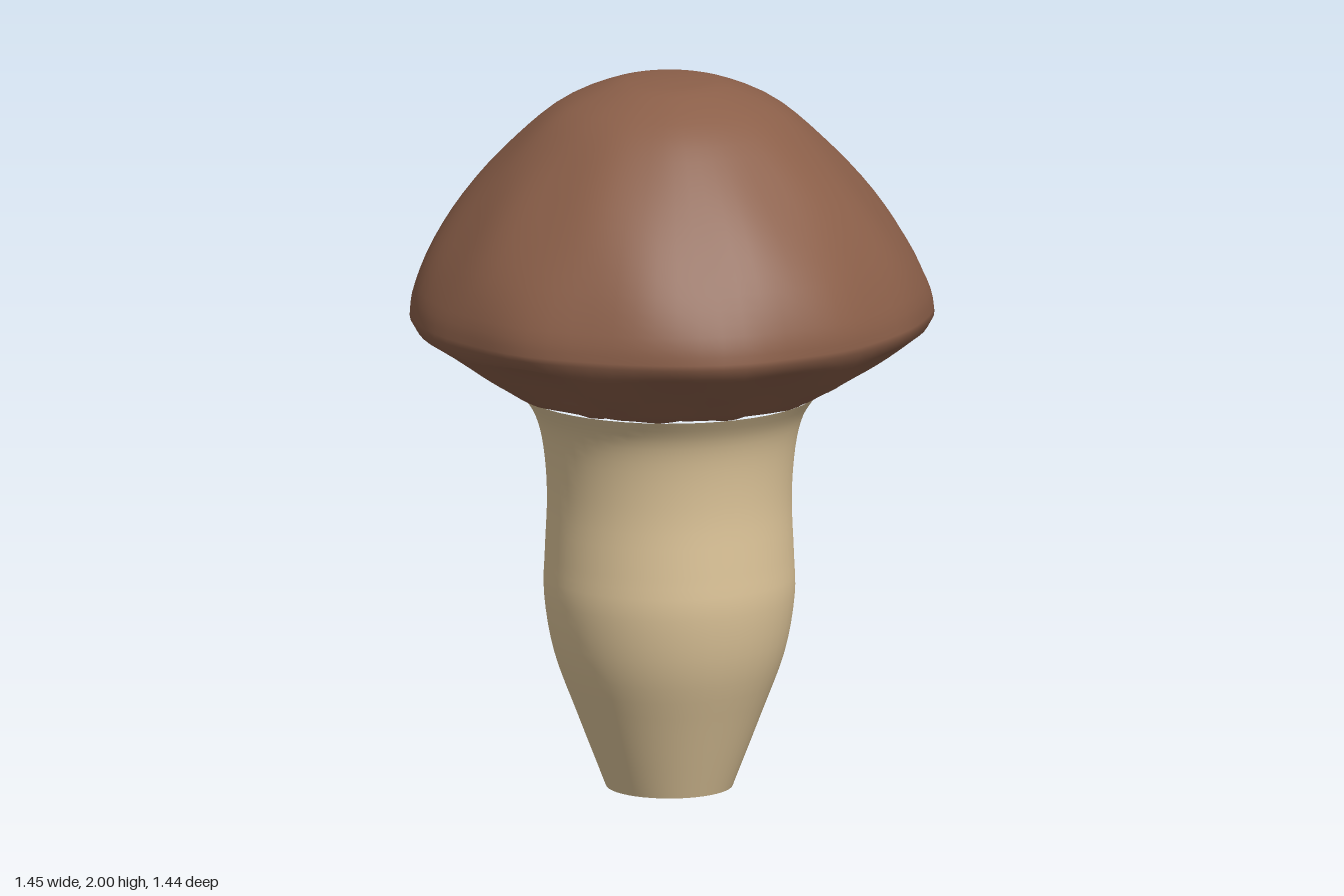
import * as THREE from 'three';
import { mergeVertices } from 'three/addons/utils/BufferGeometryUtils.js';

const capBrown = new THREE.MeshStandardMaterial({ color: 0x8b5f49 });
capBrown.name = 'cap brown';
const stemCream = new THREE.MeshStandardMaterial({ color: 0xdfc69a });
stemCream.name = 'stem cream';

const vectors = (points) => points.map(([r, y]) => new THREE.Vector2(r, y));
const smooth = (points, n) => new THREE.SplineCurve(vectors(points)).getPoints(n);

// Lathe with a seamless surface, optionally reshaped by a rule
function turned(profile, segments, rule) {
  let geometry = new THREE.LatheGeometry(profile, segments);
  geometry.deleteAttribute('uv');
  geometry.deleteAttribute('normal');
  geometry = mergeVertices(geometry, 1e-4);
  if (rule) {
    const pos = geometry.attributes.position;
    const v = new THREE.Vector3();
    for (let i = 0; i < pos.count; i++) {
      rule(v.fromBufferAttribute(pos, i));
      pos.setXYZ(i, v.x, v.y, v.z);
    }
  }
  geometry.computeVertexNormals();
  return geometry;
}

function part(name, geometry, material) {
  const mesh = new THREE.Mesh(geometry, material);
  mesh.name = name;
  return mesh;
}

// Soft hand-modelled lumps: shallow on the dome, dented under the rim
function lumps(v) {
  const a = Math.atan2(v.z, v.x);
  const r = Math.hypot(v.x, v.z);
  const edge = Math.min(1, r / 0.5);
  const dome = 0.006 * Math.sin(5 * a + 7 * v.y) + 0.005 * Math.sin(9 * a - 11 * v.y)
    + 0.003 * Math.sin(14 * a + 5 * v.y);
  const scale = 1 + dome * edge;
  v.x *= scale;
  v.z *= scale;
  if (v.y < 1.32 && r > 0.42) {
    const band = Math.sin(Math.PI * THREE.MathUtils.clamp((r - 0.42) / 0.3, 0, 1));
    v.y += 0.016 * band * (Math.sin(11 * a) + 0.6 * Math.sin(7 * a + 1));
  } else if (v.y < 1.2) {
    v.y += 0.006 * Math.sin(13 * a);
  }
}

export function createModel() {
  const mushroom = new THREE.Group();
  mushroom.name = 'mushroom';

  // Cap: flat underside, sloping lower band, rounded dome
  const underside = smooth([[0.37, 1.115], [0.44, 1.13], [0.52, 1.185], [0.62, 1.25], [0.705, 1.305]], 14);
  const dome = smooth([
    [0.722, 1.335], [0.71, 1.41], [0.655, 1.53], [0.555, 1.675],
    [0.43, 1.815], [0.31, 1.92], [0.17, 1.983], [0.08, 1.997], [0, 2],
  ], 28);
  const capProfile = [new THREE.Vector2(0, 1.115), ...underside, ...dome];
  mushroom.add(part('cap', turned(capProfile, 72, lumps), capBrown));

  // Stem: narrow foot, swollen middle, flared neck
  const stemProfile = smooth([
    [0.175, 0], [0.252, 0.2], [0.318, 0.38], [0.346, 0.54], [0.344, 0.66],
    [0.338, 0.82], [0.348, 0.96], [0.37, 1.05], [0.41, 1.115],
  ], 32);
  mushroom.add(part('stem', turned(stemProfile, 48), stemCream));

  // Flat cut at the foot
  const foot = part('stemFoot', new THREE.CircleGeometry(0.175, 48), stemCream);
  foot.rotation.x = Math.PI / 2;
  mushroom.add(foot);

  return mushroom;
}
